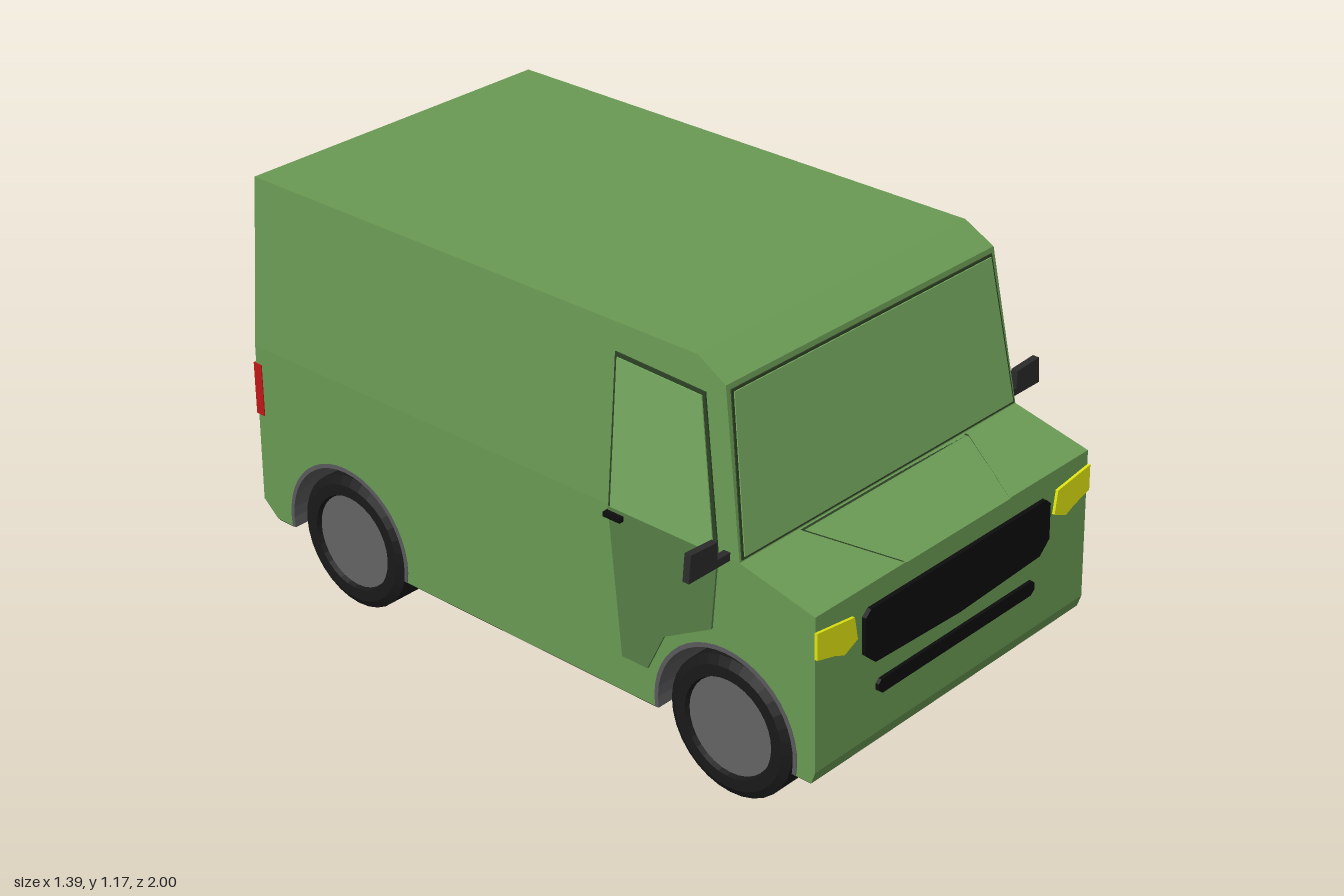
import * as THREE from 'three';

const mat = (color, smooth) => new THREE.MeshStandardMaterial({ color, flatShading: !smooth });
const green = mat(0x6a9a54), glass = mat(0x76aa60), doorGreen = mat(0x577f46), seam = mat(0x2c4023);
const dark = mat(0x2b2b2b), black = mat(0x0d0d0d), liner = mat(0x5a5a5c), yellow = mat(0xdfe410), red = mat(0xc01818);
const rubber = mat(0x191919, true), hubGrey = mat(0x646464);

// Van dimensions and surface rules
const HALF = 0.55, BELT = 0.685, FLOOR = 0.165, WELL = 0.36;
const AXLES = [0.705, -0.64], AXLE_Y = 0.2, ARCH_R = 0.23;
const halfWidth = y => HALF - Math.max(0, y - BELT) * 0.07;
const frontZ = y => 0.978 + (0.63 - y) * 0.03;
const hoodZ = y => 0.975 - (y - 0.63) * 4.18;
const screenZ = y => 0.745 - (y - BELT) * 0.172;
const rearZ = y => -0.983 + (y - 0.21) * 0.0104;

const shapeOf = pts => new THREE.Shape(pts.map(p => new THREE.Vector2(...p)));
const mirrored = pts => [...pts, ...pts.slice().reverse().map(([x, y]) => [-x, y])];

export function createModel() {
  const van = new THREE.Group();
  van.name = 'deliveryVan';

  function add(name, geometry, material, parent = van) {
    const mesh = new THREE.Mesh(geometry, material);
    mesh.name = name;
    parent.add(mesh);
    return mesh;
  }
  // Extrude a (z, y) side outline across x, from x0 to x0 + width
  function across(shape, x0, width) {
    const g = new THREE.ExtrudeGeometry(shape, { depth: width, bevelEnabled: false, curveSegments: 12 });
    return g.rotateY(-Math.PI / 2).translate(x0 + width, 0, 0);
  }
  function moveVertices(g, rule) {
    const p = g.attributes.position;
    for (let i = 0; i < p.count; i++) p.setXYZ(i, ...rule(p.getX(i), p.getY(i), p.getZ(i)));
    g.computeVertexNormals();
    return g;
  }
  // Thin panel on a side wall, outline in (z, y)
  function sidePanel(name, pts, t, material, s) {
    const g = across(shapeOf(pts), s > 0 ? 0 : -t, t);
    add(name, moveVertices(g, (x, y, z) => [x + s * halfWidth(y), y, z]), material);
  }
  // Thin panel lying on a front or rear surface, outline in (x, y)
  function facePanel(name, pts, t, material, zAt, s = 1) {
    const g = new THREE.ExtrudeGeometry(shapeOf(pts), { depth: t, bevelEnabled: false });
    if (s < 0) g.translate(0, 0, -t);
    add(name, moveVertices(g, (x, y, z) => [x, y, z + zAt(y)]), material);
  }
  function box(name, w, h, d, x, y, z, material) {
    add(name, new THREE.BoxGeometry(w, h, d), material).position.set(x, y, z);
  }

  // Lower body: a full core between the wells, and sides with wheel arches
  const upperEdge = [[-0.93, FLOOR], [-0.983, 0.21], [-0.978, BELT], [0.745, BELT], [0.978, 0.63], [0.991, 0.2], [0.98, FLOOR]];
  add('lowerBodyCore', across(shapeOf(upperEdge), -WELL, 2 * WELL), green);
  const drop = Math.asin((AXLE_Y - FLOOR) / ARCH_R);
  const sideShape = shapeOf(upperEdge);
  for (const z of AXLES) sideShape.absarc(z, AXLE_Y, ARCH_R, -drop, Math.PI + drop, false);
  for (const s of [1, -1])
    add('lowerBodySide', across(sideShape, s > 0 ? WELL : -HALF, HALF - WELL), green);

  // Upper body, leaning in towards the roof
  const upper = across(shapeOf([[-0.978, BELT], [0.745, BELT], [0.67, 1.12], [0.58, 1.17], [-0.973, 1.17]]), -HALF, 2 * HALF);
  add('upperBody', moveVertices(upper, (x, y, z) => [Math.sign(x) * halfWidth(y), y, z]), green);

  // Dark underside, leaving the wells open
  box('underside', 2 * WELL, 0.004, 1.9, 0, FLOOR - 0.001, 0.025, dark);
  for (const s of [1, -1])
    for (const [a, b] of [[0.975, 0.933], [0.477, -0.412], [-0.868, -0.925]])
      box('undersideStrip', HALF - WELL - 0.004, 0.004, a - b, s * (HALF + WELL) / 2, FLOOR - 0.001, (a + b) / 2, dark);

  // Wheel wells and wheels
  const wheelProfile = [[0, 0.066], [0.135, 0.066], [0.14, 0.08], [0.172, 0.08], [0.195, 0.066]];
  const tyrePoints = [...wheelProfile.slice(1), ...wheelProfile.slice(1).reverse().map(([r, h]) => [r, -h])]
    .reverse().map(p => new THREE.Vector2(...p));
  for (const z of AXLES) for (const s of [1, -1]) {
    const lining = new THREE.Shape();
    lining.absarc(z, AXLE_Y, ARCH_R, -drop, Math.PI + drop, false);
    lining.absarc(z, AXLE_Y, ARCH_R - 0.012, Math.PI + drop, -drop, true);
    const wall = new THREE.Shape();
    wall.absarc(z, AXLE_Y, ARCH_R, -drop, Math.PI + drop, false);
    const depth = HALF - WELL + 0.002;
    add('archLining', across(lining, s > 0 ? WELL : -WELL - depth, depth), liner);
    add('wellWall', across(wall, s > 0 ? WELL : -WELL - 0.004, 0.004), liner);

    const wheel = new THREE.Group();
    wheel.name = 'wheel';
    wheel.position.set(s * 0.46, AXLE_Y - 0.005, z);
    wheel.rotation.z = Math.PI / 2;
    van.add(wheel);
    const tyre = new THREE.LatheGeometry(tyrePoints, 32).toNonIndexed();
    tyre.computeVertexNormals();
    add('tyre', tyre, rubber, wheel);
    add('hub', new THREE.CylinderGeometry(0.136, 0.136, 0.134, 32), hubGrey, wheel);
  }

  // Cab doors, side windows, handles and mirrors
  for (const s of [1, -1]) {
    sidePanel('doorPanel', [[0.68, BELT], [0.663, 0.47], [0.51, 0.385], [0.455, 0.27], [0.37, 0.27], [0.325, BELT]], 0.006, doorGreen, s);
    sidePanel('windowFrame', [[0.68, BELT], [0.612, 1.085], [0.325, 1.095], [0.325, BELT]], 0.004, seam, s);
    sidePanel('sideWindow', [[0.668, BELT], [0.604, 1.075], [0.333, 1.084], [0.333, BELT]], 0.007, glass, s);
    box('doorHandle', 0.022, 0.014, 0.055, s * 0.56, 0.667, 0.35, black);
    const mirror = new THREE.ExtrudeGeometry(
      shapeOf([[0.545, 0.68], [0.697, 0.68], [0.69, 0.755], [0.595, 0.75], [0.595, 0.702], [0.545, 0.702]].map(([x, y]) => [s * x, y])),
      { depth: 0.02, bevelEnabled: false });
    add('wingMirror', mirror.translate(0, 0, 0.695), dark);
  }

  // Windscreen and raised hood panel with dark seams
  facePanel('windscreenFrame', mirrored([[0.543, 0.69], [0.506, 1.106]]), 0.003, seam, screenZ);
  facePanel('windscreen', mirrored([[0.535, 0.697], [0.499, 1.099]]), 0.006, glass, screenZ);
  facePanel('hoodSeam', mirrored([[0.214, 0.632], [0.33, 0.684]]), 0.008, seam, hoodZ);
  facePanel('hoodPanel', mirrored([[0.208, 0.632], [0.323, 0.684]]), 0.016, green, hoodZ);

  // Grille, lower intake and headlights
  facePanel('grille', mirrored([[0, 0.402], [0.335, 0.415], [0.375, 0.45], [0.375, 0.553], [0.355, 0.57]]), 0.012, black, frontZ);
  facePanel('lowerIntake', mirrored([[0.305, 0.313], [0.32, 0.325], [0.32, 0.343], [0.31, 0.353]]), 0.01, black, frontZ);
  for (const s of [1, -1]) {
    const lamp = [[0.552, 0.59], [0.412, 0.572], [0.4, 0.507], [0.45, 0.485], [0.487, 0.5], [0.552, 0.517]];
    facePanel('headlight', lamp.map(([x, y]) => [s * x, y]), 0.008, yellow, frontZ);
  }

  // Rear door, handle, step and lights
  facePanel('rearDoorSeam', mirrored([[0.49, 0.262], [0.475, 1.13]]), 0.004, seam, rearZ, -1);
  facePanel('rearDoor', mirrored([[0.482, 0.27], [0.467, 1.122]]), 0.007, doorGreen, rearZ, -1);
  box('rearHandle', 0.09, 0.016, 0.02, 0, 0.63, -0.99, black);
  box('rearStep', 0.24, 0.035, 0.04, 0, 0.2, -0.968, green);
  box('highBrakeLight', 0.18, 0.018, 0.016, 0, 1.155, -0.974, red);
  for (const s of [1, -1])
    box('tailLight', 0.045, 0.155, 0.03, s * 0.53, 0.555, -0.971, red);

  return van;
}
